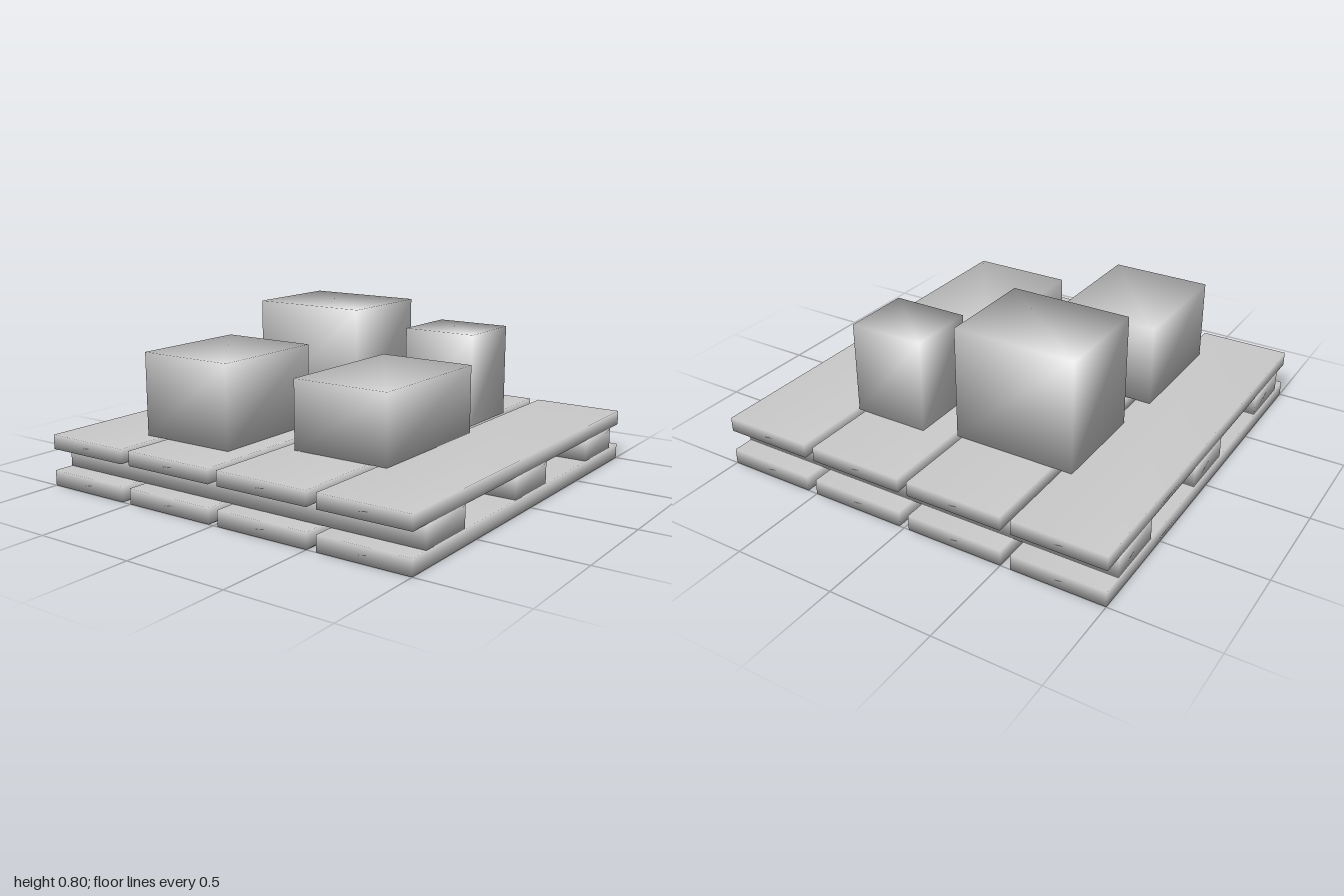
import * as THREE from 'three';
import { mergeVertices } from 'three/addons/utils/BufferGeometryUtils.js';

const material = new THREE.MeshStandardMaterial({ color: 0xcccccc });

// Box spanning the given ranges, its corners welded so the shading is smooth
function block(name, [x0, x1], [y0, y1], [z0, z1]) {
  let geometry = new THREE.BoxGeometry(x1 - x0, y1 - y0, z1 - z0);
  geometry.deleteAttribute('normal');
  geometry.deleteAttribute('uv');
  geometry = mergeVertices(geometry);
  geometry.computeVertexNormals();
  const mesh = new THREE.Mesh(geometry, material);
  mesh.name = name;
  mesh.position.set((x0 + x1) / 2, (y0 + y1) / 2, (z0 + z1) / 2);
  return mesh;
}

export function createModel() {
  const model = new THREE.Group();
  model.name = 'loadedPallet';

  // Pallet: two layers of four boards, held apart by three bearers
  const pallet = new THREE.Group();
  pallet.name = 'pallet';
  const boardRows = [[-1, -0.55], [-0.5, -0.025], [0.025, 0.5], [0.55, 1]];
  for (const z of boardRows) {
    pallet.add(block('bottomBoard', [-1, 1], [0, 0.075], z));
    pallet.add(block('topBoard', [-1, 1], [0.18, 0.25], z));
  }
  for (const x of [-0.75, 0, 0.75]) {
    pallet.add(block('bearer', [x - 0.15, x + 0.15], [0.075, 0.18], [-1, 1]));
  }

  // Boxes standing on the top boards
  const cargo = new THREE.Group();
  cargo.name = 'cargo';
  cargo.add(
    block('backRightBox', [-0.75, -0.15], [0.25, 0.65], [-0.625, -0.13]),
    block('backLeftBox', [0.075, 0.575], [0.25, 0.8], [-0.6, 0]),
    block('frontRightBox', [-0.56, 0.16], [0.25, 0.58], [0.1, 0.595]),
    block('frontLeftBox', [0.275, 0.62], [0.25, 0.7], [0.16, 0.535]),
  );

  model.add(pallet, cargo);
  return model;
}
